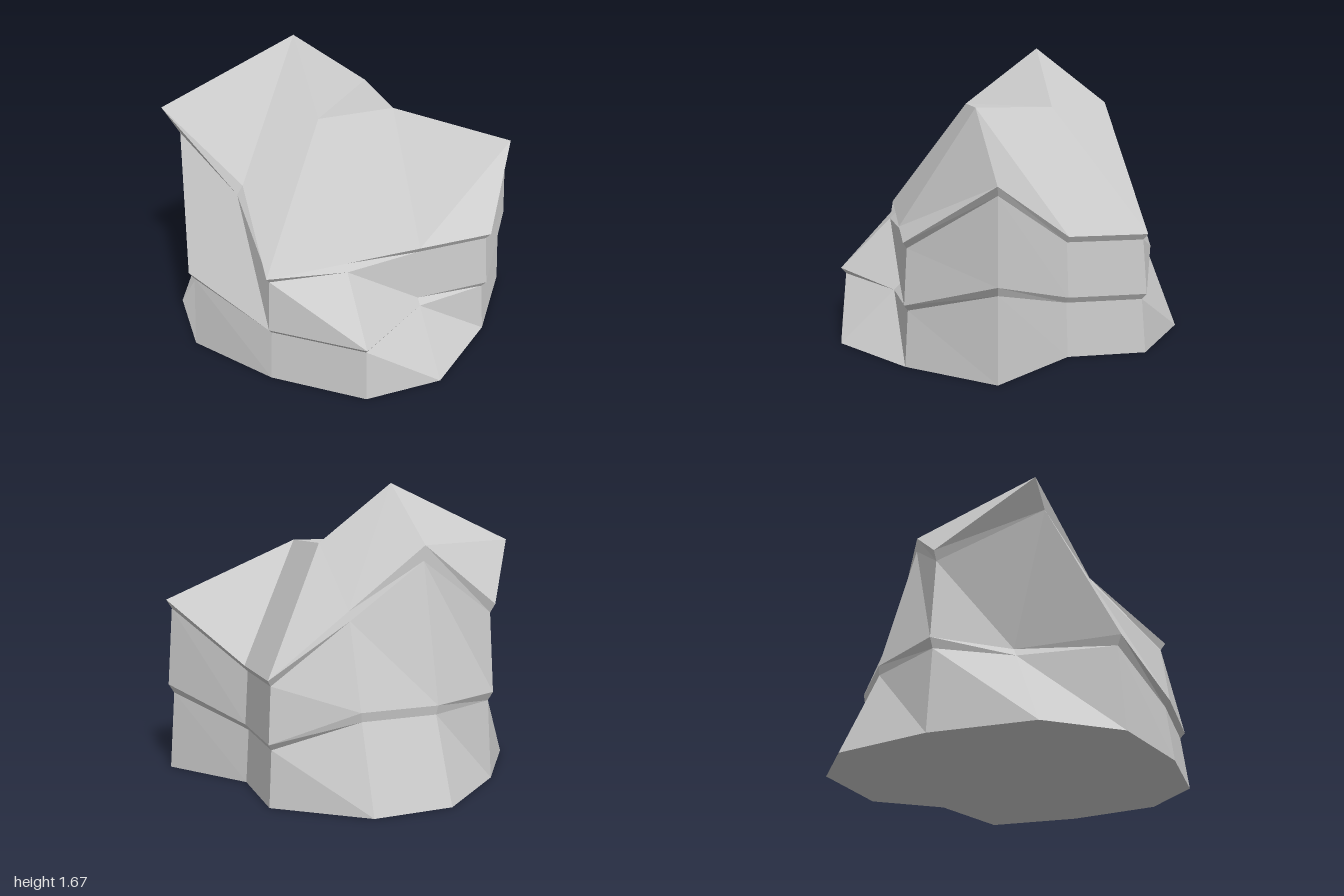
import * as THREE from 'three';

// Each ring lists 12 corners, starting at the front and turning towards +x
const BASE = [
  [-0.22, 0, 1], [0.22, 0, 1], [0.66, 0, 0.66], [1, 0, 0.22], [0.66, 0, -0.22], [0.66, 0, -0.66],
  [0.22, 0, -1], [-0.22, 0, -1], [-0.66, 0, -0.66], [-1, 0, -0.22], [-1, 0, 0.22], [-0.66, 0, 0.66],
];
const MID = [
  [-0.22, 0.333, 1], [0.22, 0.333, 0.66], [0.66, 0.333, 0.66], [1, 0.5, 0.22], [0.66, 0.333, -0.22], [0.66, 0.333, -0.66],
  [0.22, 0.5, -0.83], [-0.22, 0.5, -0.83], [-0.66, 0.5, -0.66], [-0.66, 0.5, -0.22], [-1, 0.5, 0.22], [-0.66, 0.333, 0.66],
];
const RIM = [
  [-0.22, 0.667, 0.66], [0.22, 0.667, 0.66], [0.66, 0.667, 0.66], [1, 1, 0.22], [0.66, 0.667, -0.22], [0.66, 0.667, -0.66],
  [0.22, 1, -0.66], [-0.22, 1.333, -0.66], [-0.66, 1, -0.66], [-1, 1.333, -0.22], [-0.66, 1, 0.22], [-0.66, 0.667, 0.66],
];

// Flat-shaded mesh from polygons, each split as a fan
function facetMesh(name, polygons, material) {
  const positions = [];
  for (const p of polygons) {
    for (let i = 1; i < p.length - 1; i++) positions.push(...p[0], ...p[i], ...p[i + 1]);
  }
  const geometry = new THREE.BufferGeometry();
  geometry.setAttribute('position', new THREE.Float32BufferAttribute(positions, 3));
  geometry.computeVertexNormals();
  const mesh = new THREE.Mesh(geometry, material);
  mesh.name = name;
  return mesh;
}

// Band of quads between two rings, split from lower right to upper left
function band(lower, upper) {
  return lower.map((a, i) => {
    const j = (i + 1) % lower.length;
    return [lower[j], upper[j], upper[i], a];
  });
}

// Groove just under a ring: a tenth of the way down and slightly inward,
// except at the corners where the groove closes up
function groove(lower, upper, closed) {
  return upper.map((u, i) => {
    const p = u.map((v, k) => v + (lower[i][k] - v) * 0.1);
    const s = closed.includes(i) ? 1 : 0.97;
    return [p[0] * s, p[1], p[2] * s];
  });
}

export function createModel() {
  const group = new THREE.Group();
  group.name = 'rock';
  const stone = new THREE.MeshStandardMaterial({ color: 0xcccccc, flatShading: true, side: THREE.DoubleSide });

  const midGroove = groove(BASE, MID, [1, 9]);
  const rimGroove = groove(MID, RIM, [0, 6, 10]);
  rimGroove[9] = [-0.92, 1.2, -0.14]; // deeper undercut below the left overhang

  // Walls and the narrow ledges above them
  group.add(facetMesh('lowerWall', band(BASE, midGroove), stone));
  group.add(facetMesh('lowerLedge', band(midGroove, MID), stone));
  group.add(facetMesh('upperWall', band(MID, rimGroove), stone));
  group.add(facetMesh('upperLedge', band(rimGroove, RIM), stone));

  // Sloping top around the peak
  const T = RIM;
  const peak = [-0.22, 1.667, -0.22];
  const A = [0.22, 1.333, -0.22], B = [-0.22, 1.333, 0.22], C = [0.22, 1.333, 0.22];
  group.add(facetMesh('top', [
    [T[7], T[8], T[9], peak],
    [T[9], T[10], peak],
    [T[10], T[11], B, peak],
    [T[11], T[0], B],
    [T[0], T[1], C, B],
    [T[1], T[2], T[3]],
    [T[1], T[3], C],
    [T[3], T[4], C],
    [T[4], T[5], A, C],
    [T[5], T[6], A],
    [T[6], T[7], peak, A],
    [C, A, B],
    [A, peak, B],
  ], stone));

  // Underside, fanned from the inward corner
  const underside = BASE.map((_, i) => BASE[(16 - i) % 12]);
  group.add(facetMesh('underside', [underside], stone));
  return group;
}
